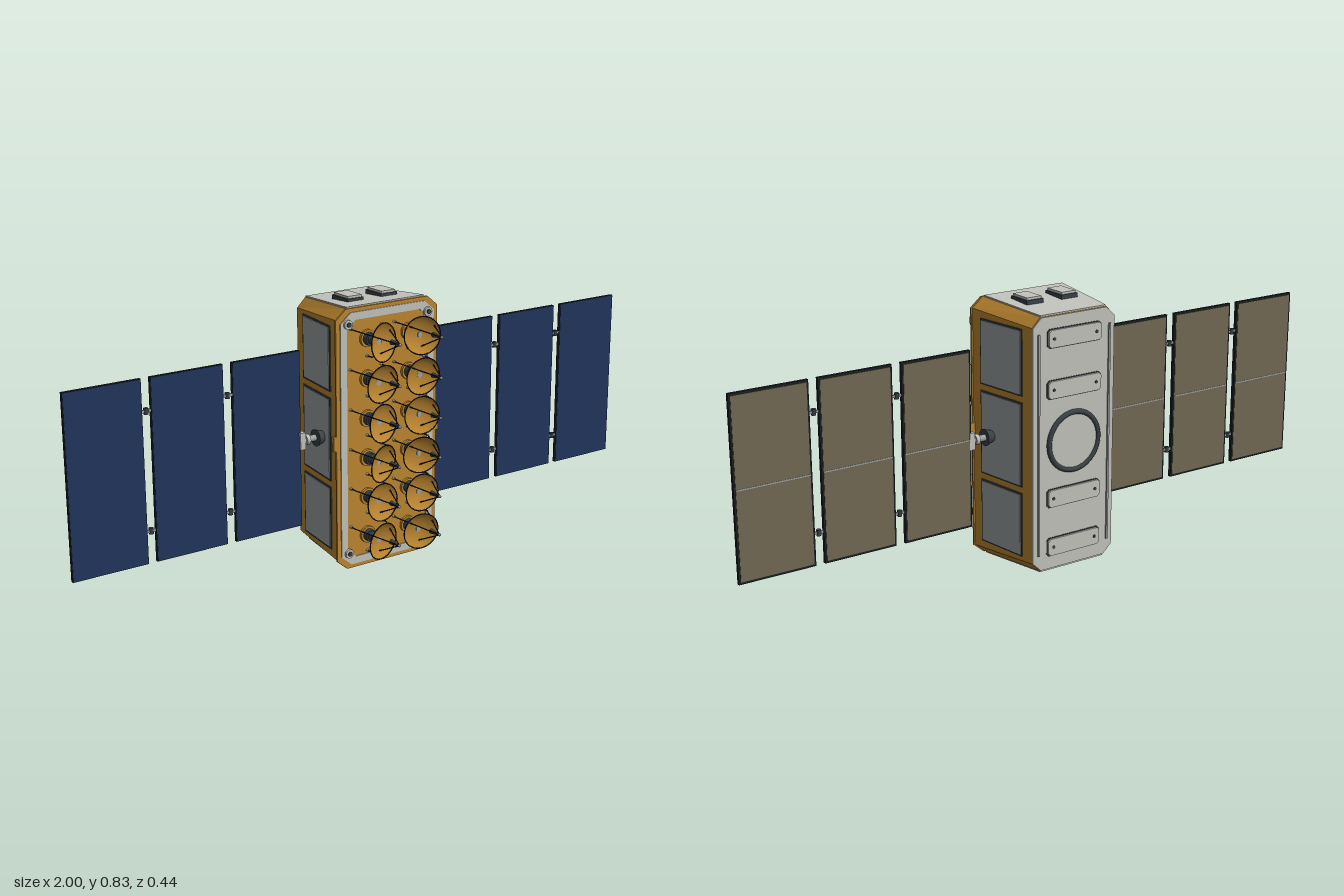
import * as THREE from 'three';

const mat = (name, color, side = THREE.FrontSide) => {
  const m = new THREE.MeshStandardMaterial({ color, side });
  m.name = name;
  return m;
};

export function createModel() {
  const gold = mat('gold foil', 0xbd8731, THREE.DoubleSide);
  const light = mat('light grey', 0xc4c4be);
  const grey = mat('panel grey', 0x9da3a3);
  const dark = mat('dark metal', 0x3a4246);
  const black = mat('black rod', 0x1b2022);
  const navy = mat('solar blue', 0x21355c);
  const brown = mat('panel back', 0x746a55);

  const model = new THREE.Group();
  model.name = 'satellite';
  const CY = 0.415;

  const add = (parent, name, geo, material, x = 0, y = 0, z = 0) => {
    const m = new THREE.Mesh(geo, material);
    m.name = name;
    m.position.set(x, y, z);
    parent.add(m);
    return m;
  };
  const group = (parent, name, x = 0, y = 0, z = 0) => {
    const g = new THREE.Group();
    g.name = name;
    g.position.set(x, y, z);
    parent.add(g);
    return g;
  };
  const box = (w, h, d) => new THREE.BoxGeometry(w, h, d);
  const cylZ = (r1, r2, h, n = 20) => new THREE.CylinderGeometry(r1, r2, h, n).rotateX(Math.PI / 2);
  const cylX = (rOut, rIn, h, n = 20) => new THREE.CylinderGeometry(rIn, rOut, h, n).rotateZ(Math.PI / 2);
  const rod = (parent, name, a, b, r, material) => {
    const d = b.clone().sub(a);
    const m = add(parent, name, new THREE.CylinderGeometry(r, r, d.length(), 8), material);
    m.position.copy(a).addScaledVector(d, 0.5);
    m.quaternion.setFromUnitVectors(new THREE.Vector3(0, 1, 0), d.normalize());
  };
  // Chamfered rectangle, counter-clockwise
  const octagon = (hx, hy, cx, cy) => [
    [hx, -hy + cy], [hx, hy - cy], [hx - cx, hy], [-hx + cx, hy],
    [-hx, hy - cy], [-hx, -hy + cy], [-hx + cx, -hy], [hx - cx, -hy],
  ].map(([x, y]) => new THREE.Vector2(x, y));
  const plate = (pts, depth, hole) => {
    const s = new THREE.Shape(pts);
    if (hole) s.holes.push(new THREE.Path(hole));
    return new THREE.ExtrudeGeometry(s, { depth, bevelEnabled: false });
  };

  // Tapered body: an octagonal slab whose back end is drawn in
  const bodyGeo = plate(octagon(0.18, 0.4, 0.036, 0.03), 0.255).translate(0, 0, -0.205);
  const p = bodyGeo.attributes.position;
  for (let i = 0; i < p.count; i++) {
    if (p.getZ(i) < 0) p.setXY(i, p.getX(i) * 0.145 / 0.18, p.getY(i) * 0.385 / 0.4);
  }
  bodyGeo.computeVertexNormals();
  add(model, 'body', bodyGeo, gold, 0, CY, 0);
  add(model, 'frontLip', plate(octagon(0.184, 0.4, 0.036, 0.03), 0.006), gold, 0, CY, 0.046);
  add(model, 'frontFrame', plate(octagon(0.17, 0.388, 0.036, 0.03), 0.004,
    octagon(0.147, 0.365, 0.03, 0.026)), light, 0, CY, 0.051);

  // Side panels with dark borders, laid on the slanted walls
  const slant = Math.atan(0.035 / 0.255);
  for (const s of [1, -1]) {
    const wall = group(model, 'sideWall', s * 0.1625, 0, -0.0775);
    wall.rotation.y = s * (Math.PI / 2 + slant);
    for (const [y0, y1] of [[0.073, 0.267], [0.29, 0.543], [0.566, 0.76]]) {
      add(wall, 'sidePanelBorder', box(0.178, y1 - y0 + 0.004, 0.004), dark, 0, (y0 + y1) / 2, 0.001);
      add(wall, 'sidePanel', box(0.168, y1 - y0 - 0.007, 0.006), grey, 0, (y0 + y1) / 2, 0.002);
    }
  }

  // Top and bottom: light panel with two raised boxes
  for (const turn of [0, Math.PI]) {
    const end = group(model, turn ? 'bottomEnd' : 'topEnd', 0, CY, 0);
    end.rotation.z = turn;
    const deck = group(end, 'endDeck', 0, 0.3925, -0.0775);
    deck.rotation.x = -Math.atan(0.015 / 0.255);
    const pts = [[-0.141, -0.122], [0.141, -0.122], [0.115, 0.127], [-0.115, 0.127]];
    add(deck, 'endPanel', plate(pts.map((q) => new THREE.Vector2(...q)), 0.004).rotateX(-Math.PI / 2), light);
    for (const x of [-0.061, 0.061]) {
      add(end, 'boxBase', box(0.058, 0.016, 0.08), dark, x, 0.4, -0.062);
      add(end, 'boxCover', box(0.05, 0.012, 0.072), light, x, 0.409, -0.062);
    }
  }

  // Back panel with rails, docking ring and four raised covers
  add(model, 'backPanel', plate(octagon(0.144, 0.383, 0.029, 0.028), 0.005), light, 0, CY, -0.209);
  for (const x of [-0.125, 0.125]) add(model, 'backRail', box(0.006, 0.67, 0.006), grey, x, CY, -0.211);
  add(model, 'dockingRing', new THREE.TorusGeometry(0.088, 0.008, 10, 48), dark, 0, CY, -0.21);
  add(model, 'dockingDisc', cylZ(0.085, 0.085, 0.004, 48), light, 0, CY, -0.21);
  for (const y of [0.1, 0.252, 0.582, 0.733]) {
    add(model, 'coverBase', plate(octagon(0.096, 0.029, 0.008, 0.008), 0.003), dark, 0, y, -0.211);
    add(model, 'backCover', plate(octagon(0.093, 0.026, 0.008, 0.008), 0.008), light, 0, y, -0.217);
    for (const x of [-0.075, 0.075]) add(model, 'coverBolt', cylZ(0.005, 0.005, 0.003, 10), dark, x, y, -0.217);
  }

  // Corner fittings on the front
  for (const x of [-0.145, 0.145]) for (const y of [0.065, 0.77]) {
    add(model, 'cornerFitting', cylZ(0.014, 0.014, 0.012), light, x, y, 0.056);
    add(model, 'cornerCap', cylZ(0.007, 0.007, 0.006), dark, x, y, 0.063);
  }

  // Twelve dish antennas in two columns
  const bowl = [[0.006, 0], [0.022, 0.002], [0.038, 0.007], [0.049, 0.012], [0.057, 0.018]];
  const dishGeo = new THREE.LatheGeometry(bowl.map((q) => new THREE.Vector2(...q)), 32).rotateX(Math.PI / 2);
  const rimGeo = new THREE.TorusGeometry(0.057, 0.0018, 6, 36);
  const yaws = [0.28, 0.08, 0.2, 0.28, 0.08, 0.2];
  const V = (x, y, z) => new THREE.Vector3(x, y, z);
  for (const s of [1, -1]) for (let i = 0; i < 6; i++) {
    const a = group(model, 'antenna', s * 0.075, 0.72 - i * 0.1216, 0);
    add(a, 'antennaBase', cylZ(0.026, 0.026, 0.011), gold, 0, 0, 0.055);
    add(a, 'antennaMount', cylZ(0.019, 0.019, 0.018), dark, 0, 0, 0.068);
    add(a, 'antennaNeck', cylZ(0.012, 0.014, 0.014), dark, 0, 0, 0.083);
    add(a, 'antennaJoint', cylZ(0.009, 0.009, 0.026), grey, 0, 0, 0.1);
    const dish = group(a, 'dish', 0, 0, 0.112);
    dish.rotation.set(i % 2 ? 0.08 : -0.05, -s * yaws[i], 0);
    add(dish, 'dishBowl', dishGeo, gold);
    add(dish, 'dishRim', rimGeo, black, 0, 0, 0.018);
    // Feed horn held by three rods
    const tip = V(0, 0.012, 0.215);
    add(a, 'feedHorn', cylZ(0.003, 0.008, 0.036, 12), dark, 0, 0.012, 0.192);
    add(a, 'feedTip', new THREE.SphereGeometry(0.0045, 10, 8), grey, 0, 0.012, 0.214);
    for (const [x, y] of [[s * 0.06, 0.035], [-s * 0.052, 0.035], [0, -0.053]]) {
      const knee = V(x, y, 0.078);
      rod(a, 'feedRod', tip, knee, 0.0018, black);
      rod(a, 'feedRodLeg', knee, V(x, y, 0.05), 0.0022, dark);
      add(a, 'feedRodFoot', cylZ(0.004, 0.004, 0.008, 10), light, x, y, 0.056);
    }
  }

  // Solar wings
  const Z = -0.043;
  for (const s of [1, -1]) {
    const wing = group(model, s > 0 ? 'leftWing' : 'rightWing', 0, 0, 0);
    add(wing, 'armBracket', box(0.02, 0.044, 0.012), gold, s * 0.183, CY, 0.046);
    add(wing, 'armSocket', s > 0 ? cylX(0.026, 0.016, 0.03) : cylX(0.016, 0.026, 0.03), dark, s * 0.183, CY, -0.038);
    add(wing, 'armShaft', cylX(0.01, 0.01, 0.06), grey, s * 0.218, CY, -0.04);
    add(wing, 'armCollar', cylX(0.016, 0.016, 0.012), light, s * 0.228, CY, -0.04);
    add(wing, 'armBlock', box(0.018, 0.052, 0.022), light, s * 0.247, CY, -0.04);
    for (const [x0, x1] of [[0.25, 0.478], [0.508, 0.738], [0.766, 1.0]]) {
      const x = s * (x0 + x1) / 2, w = x1 - x0;
      add(wing, 'panelFrame', box(w, 0.54, 0.01), black, x, 0.42, Z);
      add(wing, 'panelCells', box(w - 0.002, 0.537, 0.002), navy, x, 0.42, Z + 0.0055);
      add(wing, 'panelBack', box(w - 0.012, 0.526, 0.002), brown, x, 0.42, Z - 0.0055);
      add(wing, 'panelBackStrip', box(w - 0.012, 0.004, 0.003), grey, x, 0.42, Z - 0.006);
    }
    for (const x of [0.493, 0.752]) for (const y of [0.245, 0.595]) {
      add(wing, 'hingeBar', box(0.034, 0.008, 0.006), grey, s * x, y, Z);
      add(wing, 'hingePin', new THREE.CylinderGeometry(0.007, 0.007, 0.018, 12), dark, s * x, y, Z);
    }
  }
  return model;
}
